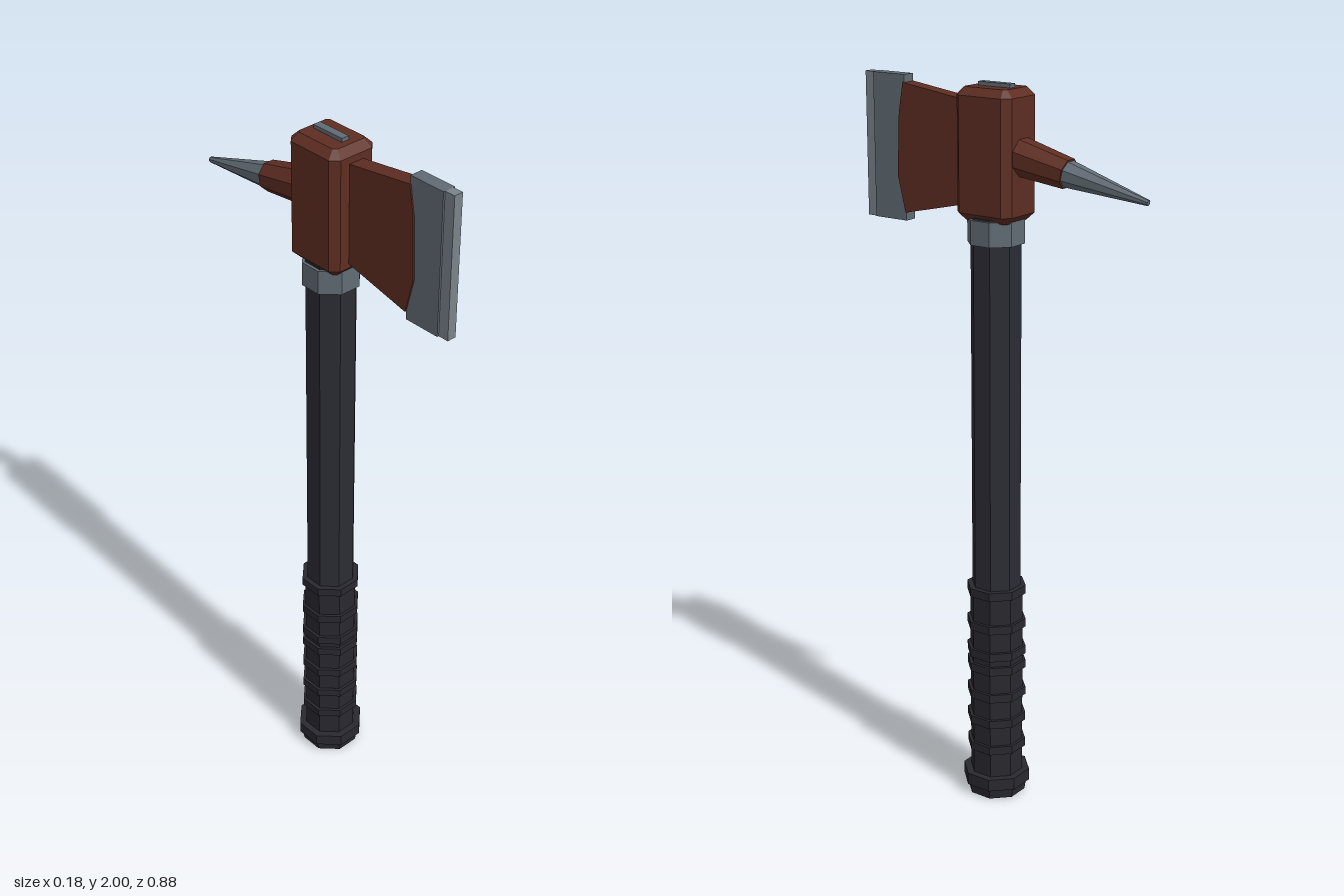
import * as THREE from 'three';

const mat = (name, color) => {
  const m = new THREE.MeshStandardMaterial({ color });
  m.name = name;
  return m;
};

export function createModel() {
  const group = new THREE.Group();
  const red = mat('red paint', 0x5e2d22);
  const steel = mat('steel', 0x616b74);
  const edgeSteel = mat('edge steel', 0x7a838b);
  const dark = mat('dark handle', 0x2b2b34);
  const rubber = mat('grip rubber', 0x28282f);
  const axisZ = 0.022; // handle centre line

  // Add a faceted mesh
  const add = (name, geometry, material) => {
    const g = geometry.index ? geometry.toNonIndexed() : geometry;
    g.computeVertexNormals();
    const mesh = new THREE.Mesh(g, material);
    mesh.name = name;
    group.add(mesh);
    return mesh;
  };

  // Octagonal prism or cone; radii are measured to the flats
  const octagon = (top, bottom, height) => {
    const k = 1 / Math.cos(Math.PI / 8);
    return new THREE.CylinderGeometry(top * k, bottom * k, height, 8).rotateY(Math.PI / 8);
  };
  const onHandle = (name, top, bottom, y0, y1, material) =>
    add(name, octagon(top, bottom, y1 - y0).translate(0, (y0 + y1) / 2, axisZ), material);
  const box = (name, w, y0, y1, z0, z1, material) =>
    add(name, new THREE.BoxGeometry(w, y1 - y0, z1 - z0)
      .translate(0, (y0 + y1) / 2, (z0 + z1) / 2), material);

  // Handle, pommel and collar
  onHandle('pommelBase', 0.08, 0.076, 0, 0.032, rubber);
  onHandle('pommel', 0.088, 0.088, 0.03, 0.065, rubber);
  onHandle('grip', 0.069, 0.069, 0.06, 0.625, rubber);
  onHandle('shaft', 0.063, 0.063, 0.6, 1.66, dark);
  onHandle('collar', 0.071, 0.071, 1.59, 1.655, steel);

  // Raised grip rings
  for (const y of [0.15, 0.232, 0.312, 0.395, 0.438, 0.52, 0.62]) {
    onHandle('gripRing', 0.077, 0.077, y - 0.012, y + 0.012, rubber);
  }

  // Head block, chamfered on every edge
  const w = 0.07, d = 0.0865, c = 0.02;
  const outline = new THREE.Shape([
    [w - c, -d], [w, c - d], [w, d - c], [w - c, d],
    [c - w, d], [-w, d - c], [-w, c - d], [c - w, -d],
  ].map(([x, y]) => new THREE.Vector2(x, y)));
  const block = new THREE.ExtrudeGeometry(outline, {
    depth: 0.34 - 2 * c, bevelEnabled: true, bevelSegments: 1,
    bevelThickness: c, bevelSize: c, bevelOffset: -c,
  });
  add('headBlock', block.rotateX(-Math.PI / 2).translate(0, 1.65 + c, axisZ), red);
  box('topWedge', 0.022, 1.95, 2, -0.03, 0.07, steel);

  // Flared blade body, drawn in the z-y plane
  const side = new THREE.Shape([
    [0.09, 1.68], [0.108, 1.682], [0.305, 1.637], [0.329, 1.735],
    [0.322, 1.9], [0.308, 1.98], [0.108, 1.952], [0.09, 1.95],
  ].map(([z, y]) => new THREE.Vector2(z, y)));
  const body = new THREE.ExtrudeGeometry(side, { depth: 0.044, bevelEnabled: false });
  add('bladeBody', body.translate(0, 0, -0.022).rotateY(-Math.PI / 2), red);

  // Steel blade with a thinner cutting edge
  box('blade', 0.036, 1.615, 2, 0.305, 0.41, steel);
  box('cuttingEdge', 0.026, 1.615, 2, 0.41, 0.44, edgeSteel);

  // Rear spike, tilted slightly downward
  const tilt = 0.195;
  const spike = (name, rEnd, rStart, z0, z1, material) => {
    const length = (z0 - z1) / Math.cos(tilt);
    const mid = (z0 + z1) / 2;
    add(name, octagon(rEnd, rStart, length)
      .rotateX(-Math.PI / 2 - tilt)
      .translate(0, 1.831 + mid * Math.tan(tilt), mid), material);
  };
  spike('spikeSocket', 0.037, 0.048, -0.04, -0.203, red);
  spike('spikePoint', 0.007, 0.033, -0.2, -0.438, steel);

  return group;
}
